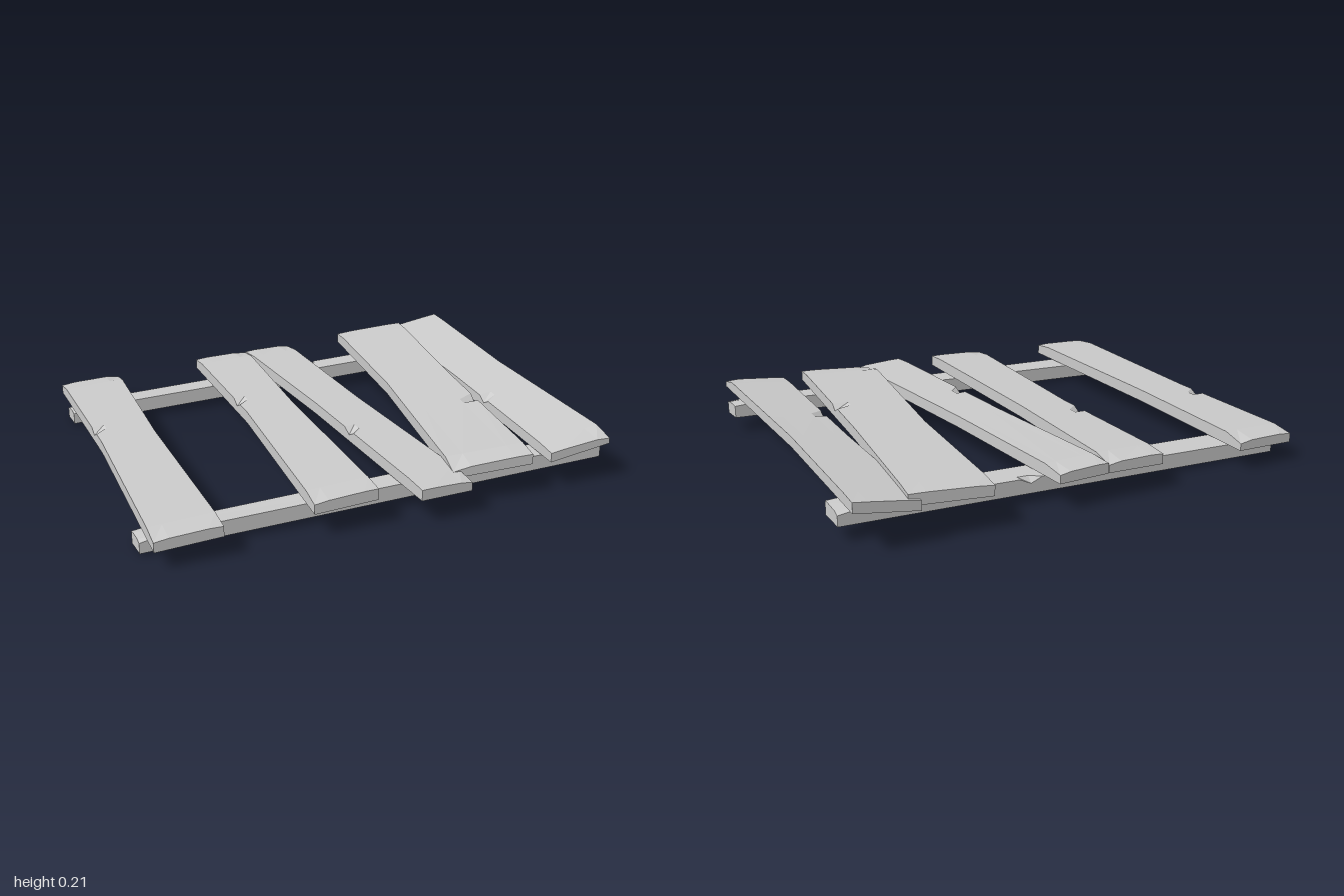
import * as THREE from 'three';

const material = new THREE.MeshStandardMaterial({ color: 0xcccccc, flatShading: true });
const lerp = THREE.MathUtils.lerp;

// A worn board lofted between two ends. Corners are [x, yBottom, z] at
// start-left, start-right, end-left, end-right (left and right of travel).
// bow: sideways bend of each edge [left, right]; drops: wear of the four top
// corners; nicks: chips in the top edges as [side (0 left, 1 right), t].
function board(name, [a, b, c, d], thick, { bow = [0, 0], drops = [0.015, 0.015, 0.015, 0.015], nicks = [] }) {
  const A = new THREE.Vector3(...a), B = new THREE.Vector3(...b);
  const C = new THREE.Vector3(...c), D = new THREE.Vector3(...d);
  const stations = [0, 0.06, 0.45, 0.94, 1];
  for (const [, t] of nicks) stations.push(t - 0.025, t, t + 0.025);
  stations.sort((p, q) => p - q);

  // Six-point cross-section: bottom pair, then the top with inset edge points
  const rings = stations.map(t => {
    const tent = t < 0.45 ? t / 0.45 : (1 - t) / 0.55;
    const L = A.clone().lerp(C, t), R = B.clone().lerp(D, t);
    const across = R.clone().sub(L).normalize();
    L.addScaledVector(across, bow[0] * tent);
    R.addScaledVector(across, bow[1] * tent);
    const endDrop = s => t === 0 ? drops[s] : t === 1 ? drops[2 + s] : 0;
    const nick = s => nicks.some(n => n[0] === s && n[1] === t) ? 0.022 : 0;
    const top = (u, drop) => {
      const p = L.clone().lerp(R, u);
      p.y += thick - drop;
      return p;
    };
    const inner = s => lerp(endDrop(0), endDrop(1), s ? 0.78 : 0.22) * 0.6;
    return [L, R, top(1, endDrop(1) + nick(1)), top(0.78, inner(1)),
      top(0.22, inner(0)), top(0, endDrop(0) + nick(0))];
  });

  const pos = [];
  const tri = (...pts) => pts.forEach(p => pos.push(p.x, p.y, p.z));
  for (let i = 0; i < rings.length - 1; i++) {
    for (let j = 0; j < 6; j++) {
      const k = (j + 1) % 6, r = rings[i], s = rings[i + 1];
      tri(r[j], r[k], s[k]);
      tri(r[j], s[k], s[j]);
    }
  }
  // End caps
  const first = rings[0], last = rings[rings.length - 1];
  for (let j = 1; j < 5; j++) {
    tri(first[0], first[j + 1], first[j]);
    tri(last[0], last[j], last[j + 1]);
  }
  const geo = new THREE.BufferGeometry();
  geo.setAttribute('position', new THREE.Float32BufferAttribute(pos, 3));
  geo.computeVertexNormals();
  const mesh = new THREE.Mesh(geo, material);
  mesh.name = name;
  return mesh;
}

export function createModel() {
  const group = new THREE.Group();
  group.name = 'brokenFence';

  // Two sloping rails, running from -x to +x
  group.add(
    board('frontRail',
      [[-1, 0.01, 0.63], [-1, 0.0, 0.525], [0.94, 0.063, 0.71], [0.94, 0.068, 0.61]],
      0.063, { drops: [0.02, 0.012, 0.012, 0.01], nicks: [[0, 0.62]] }),
    board('backRail',
      [[-0.95, 0.01, -0.62], [-0.95, 0.0, -0.735], [0.99, 0.07, -0.555], [0.99, 0.065, -0.665]],
      0.063, { drops: [0.015, 0.02, 0.008, 0.02], nicks: [[1, 0.6]] }));

  // Five crooked planks, running from back to front
  group.add(
    board('plank1',
      [[-0.95, 0.078, -0.84], [-0.685, 0.088, -0.84], [-0.98, 0.075, 0.755], [-0.72, 0.085, 0.76]],
      0.052, { bow: [0.02, -0.015], drops: [0.015, 0.022, 0.012, 0.01], nicks: [[0, 0.375]] }),
    board('plank2',
      [[-0.30, 0.105, -0.83], [-0.05, 0.115, -0.825], [-0.37, 0.1, 0.765], [-0.11, 0.11, 0.77]],
      0.052, { bow: [0.025, -0.015], drops: [0.01, 0.02, 0.012, 0.006], nicks: [[0, 0.37]] }),
    board('plank3',
      [[-0.05, 0.112, -0.82], [0.17, 0.115, -0.825], [0.04, 0.103, 0.835], [0.26, 0.1, 0.83]],
      0.05, { bow: [0.012, -0.012], drops: [0.008, 0.015, 0.005, 0.015], nicks: [[0, 0.64]] }),
    board('plank4',
      [[0.45, 0.13, -0.83], [0.78, 0.15, -0.80], [0.22, 0.122, 0.75], [0.56, 0.135, 0.785]],
      0.05, { bow: [0.025, -0.01], drops: [0.008, 0.005, 0.022, 0.008], nicks: [[1, 0.635]] }),
    board('plank5',
      [[0.735, 0.13, -0.815], [0.99, 0.17, -0.805], [0.65, 0.122, 0.78], [0.92, 0.16, 0.79]],
      0.045, { bow: [0.01, -0.02], drops: [0.006, 0.003, 0.006, 0.022], nicks: [[0, 0.635]] }));
  return group;
}
